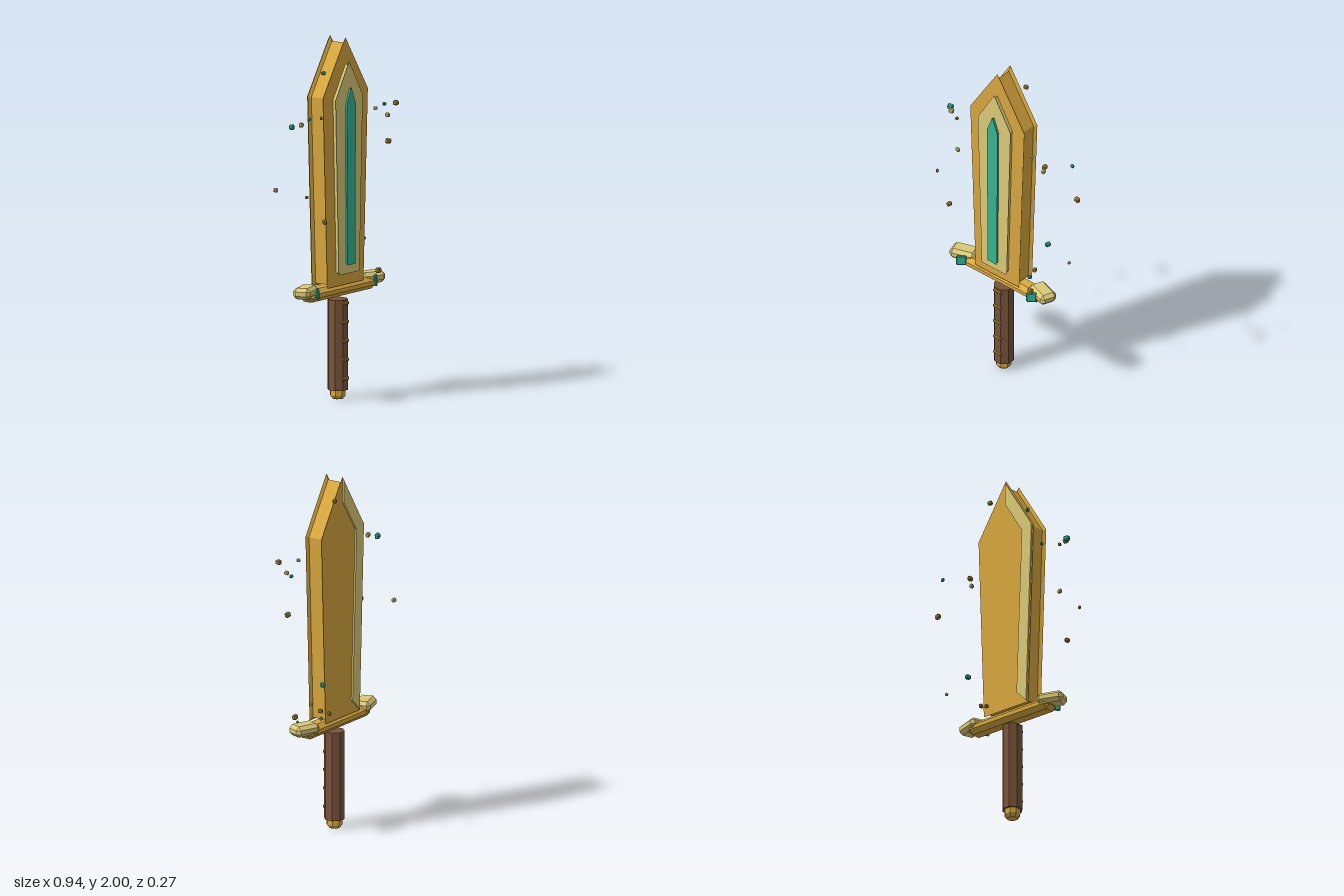
import * as THREE from 'three';
import { ConvexGeometry } from 'three/addons/geometries/ConvexGeometry.js';

const CX = -0.042, CZ = -0.013;
const mat = (color, side = THREE.FrontSide) => new THREE.MeshStandardMaterial({ color, flatShading: true, side });
const gold = mat(0xd9a83f), pale = mat(0xdcca78), teal = mat(0x36b595), wood = mat(0x7a5439), bronze = mat(0xb08a35);

// Block with all its edges chamfered
function chamferBox(w, h, d, c) {
  const pts = [], [x, y, z] = [w / 2, h / 2, d / 2];
  for (const i of [-1, 1]) for (const j of [-1, 1]) for (const k of [-1, 1]) {
    pts.push(
      new THREE.Vector3(i * x, j * (y - c), k * (z - c)),
      new THREE.Vector3(i * (x - c), j * y, k * (z - c)),
      new THREE.Vector3(i * (x - c), j * (y - c), k * z));
  }
  return new ConvexGeometry(pts);
}

// Five-cornered blade outline, counter-clockwise from the bottom left, shrunk by inset
function outline({ foot, shoulder, y0, y1, tip }, inset) {
  const b = foot - inset, s = shoulder - inset, ys = y1 - 0.3 * inset;
  return [[-b, y0 + inset], [b, y0 + inset], [s, ys], [0, tip - 1.9 * inset], [-s, ys]];
}

// Loft the outline through [z, inset] sections, front to back, and cap both ends
function bladeLayer(size, sections) {
  const pos = [];
  const rings = sections.map(([z, inset]) => outline(size, inset).map(([x, y]) => [x, y, z]));
  const n = 5, last = rings[rings.length - 1];
  for (let r = 0; r + 1 < rings.length; r++) for (let i = 0; i < n; i++) {
    const j = (i + 1) % n, a = rings[r][i], b = rings[r][j], c = rings[r + 1][j], d = rings[r + 1][i];
    pos.push(...a, ...d, ...c, ...a, ...c, ...b);
  }
  for (let i = 1; i < n - 1; i++) {
    pos.push(...rings[0][0], ...rings[0][i], ...rings[0][i + 1]);
    pos.push(...last[0], ...last[i + 1], ...last[i]);
  }
  const geo = new THREE.BufferGeometry();
  geo.setAttribute('position', new THREE.Float32BufferAttribute(pos, 3));
  geo.computeVertexNormals();
  return geo;
}

export function createModel() {
  const model = new THREE.Group();
  model.name = 'sword';
  const add = (name, geo, material, x, y, z, ry = 0) => {
    const mesh = new THREE.Mesh(geo, material);
    mesh.name = name;
    mesh.position.set(x, y, z);
    mesh.rotation.y = ry;
    model.add(mesh);
    return mesh;
  };

  // Blade layers: flared rims around a recessed edge
  const bladeSize = { foot: 0.157, shoulder: 0.195, y0: 0.635, y1: 1.69, tip: 2 };
  add('blade', bladeLayer(bladeSize, [[0.04, 0], [0.028, 0.017], [-0.054, 0.017], [-0.066, 0]]), gold, CX, 0, 0);
  add('bladePanel', bladeLayer({ foot: 0.09, shoulder: 0.118, y0: 0.7, y1: 1.67, tip: 1.87 },
    [[0.066, 0], [0.058, 0.01], [0.038, 0.01]]), pale, CX, 0, 0);
  add('bladeInlay', bladeLayer({ foot: 0.033, shoulder: 0.039, y0: 0.75, y1: 1.63, tip: 1.73 },
    [[0.082, 0], [0.076, 0.006], [0.06, 0.006]]), teal, CX, 0, 0);

  // Pale trim along one half of the back
  const outer = outline(bladeSize, 0.008), inner = outline(bladeSize, 0.075);
  const trim = [outer[3], outer[4], outer[0], inner[0], inner[4], inner[3]];
  const trimShape = new THREE.Shape(trim.map(([x, y]) => new THREE.Vector2(x, y)));
  add('backTrim', new THREE.ExtrudeGeometry(trimShape, { depth: 0.012, bevelEnabled: false }), pale, CX, 0, -0.076);

  // Cross guard, its angled end caps and small gem plates
  add('guardBar', chamferBox(0.57, 0.07, 0.1, 0.024), gold, CX, 0.605, CZ);
  for (const s of [-1, 1]) {
    add('guardCap', chamferBox(0.152, 0.062, 0.1, 0.019), pale, CX + s * 0.281, 0.629, CZ, -s * 0.33);
    add('guardGem', chamferBox(0.056, 0.058, 0.016, 0.005), teal, CX + s * 0.253, 0.622, 0.049, 0.72);
  }

  // Grip, studs and pommel
  const octagon = (top, bottom, h) => new THREE.CylinderGeometry(top, bottom, h, 8).rotateY(Math.PI / 8);
  add('grip', octagon(0.057, 0.057, 0.5), wood, CX, 0.3, CZ);
  for (let i = 0; i < 5; i++) {
    add('gripStud', chamferBox(0.058, 0.018, 0.016, 0.005), bronze, CX, 0.115 + i * 0.104, 0.039);
  }
  add('pommel', octagon(0.045, 0.045, 0.03), gold, CX, 0.035, CZ);
  add('pommelTip', octagon(0.045, 0.03, 0.02), gold, CX, 0.01, CZ);

  // Floating fragments: x, y, z, size
  const shards = {
    teal: [[-0.433, 1.555, -0.02, 0.029], [-0.267, 1.57, -0.032, 0.016], [0.416, 1.55, -0.055, 0.018],
      [0.195, 0.885, -0.105, 0.026], [-0.157, 1.81, -0.021, 0.019], [0.12, 0.662, -0.04, 0.018]],
    gold: [[0.055, 1.89, -0.085, 0.023], [0.34, 1.585, 0.085, 0.026], [0.45, 1.34, -0.055, 0.028],
      [-0.32, 1.03, 0.118, 0.024], [-0.435, 1.18, 0.086, 0.016], [-0.3, 1.595, 0.078, 0.016],
      [0.145, 0.715, -0.055, 0.022], [0.217, 0.677, 0.063, 0.028], [0.09, 0.69, -0.074, 0.018]],
    pale: [[-0.395, 1.565, 0.016, 0.025], [0.305, 1.52, 0.056, 0.022], [-0.46, 1.2, -0.11, 0.022],
      [0.33, 0.815, -0.125, 0.015], [0.212, 1.57, 0.045, 0.018]],
  };
  const shardMaterials = { teal, gold: bronze, pale };
  for (const [kind, list] of Object.entries(shards)) {
    list.forEach(([x, y, z, s], i) => {
      const shard = add(kind + 'Shard', chamferBox(s * 1.15, s, s * 0.9, s * 0.22), shardMaterials[kind], x, y, z, i * 1.3 + 0.4);
      shard.rotation.z = 0.15 * (i % 3 - 1);
    });
  }
  return model;
}
